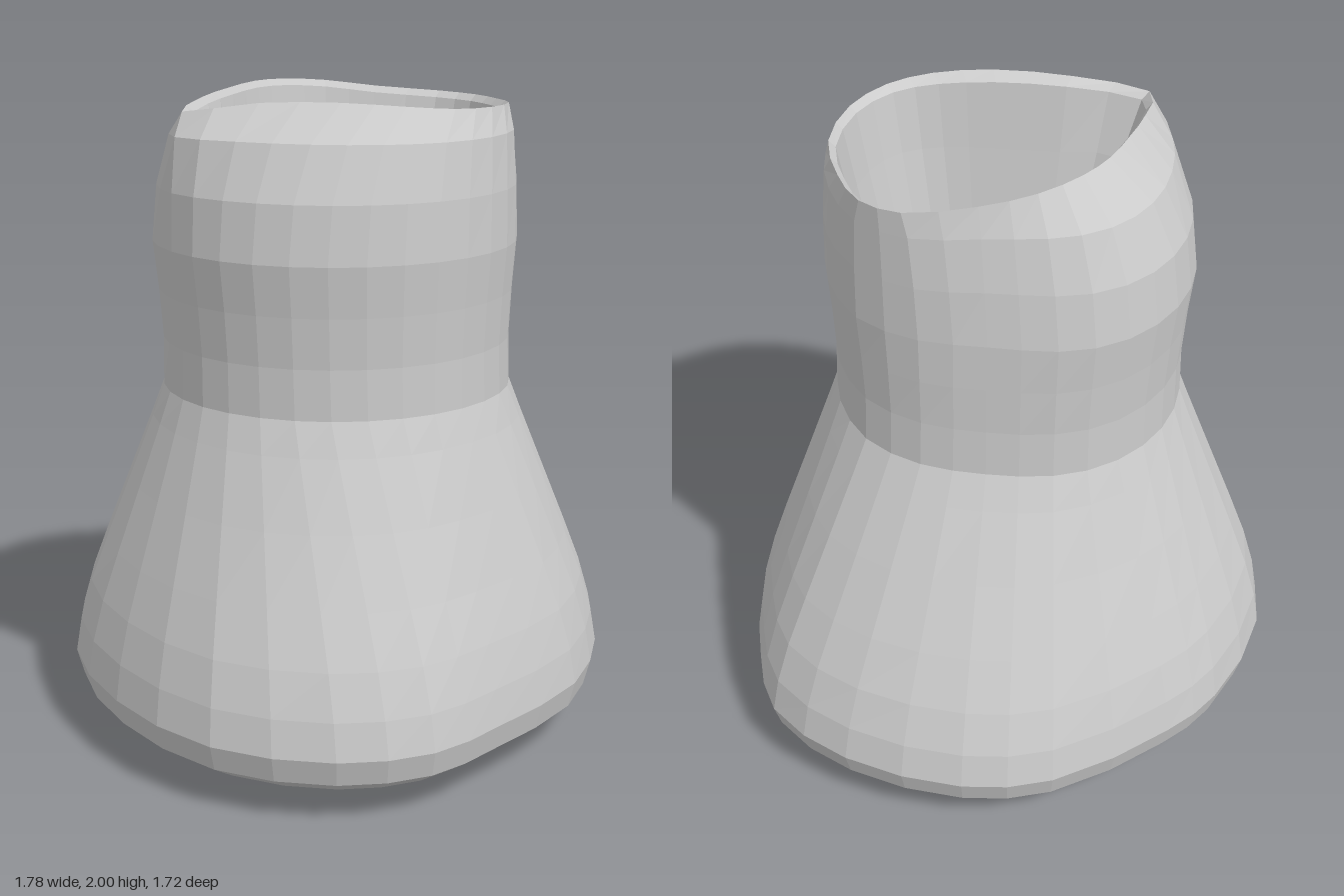
import * as THREE from 'three';

const SEG = 32;
const material = new THREE.MeshStandardMaterial({ color: 0xcccccc, flatShading: true, side: THREE.DoubleSide });

// closed outlines given as [x, z] or [x, z, y], starting at +x and turning toward +z
function outline(points) {
  const curve = new THREE.CatmullRomCurve3(points.map(([x, z, y = 0]) => new THREE.Vector3(x, y, z)), true);
  return Array.from({ length: SEG }, (_, i) => curve.getPoint(i / SEG));
}

function ellipse(cx, rx, rz) {
  return Array.from({ length: SEG }, (_, i) => {
    const a = (i / SEG) * Math.PI * 2;
    return new THREE.Vector3(cx + rx * Math.cos(a), 0, rz * Math.sin(a));
  });
}

// ring between two outlines at one height; t may vary along the ring
function blend(a, b, t, y) {
  return a.map((p, i) => p.clone().lerp(b[i], typeof t === 'function' ? t(i) : t).setY(y));
}

// blend weight with a local bump around one segment of the ring
const bump = (t, amount, at, width) => (i) => t + amount * Math.exp(-(((i - at) / width) ** 2));

// skin over a stack of rings
function loft(name, rings) {
  const index = [];
  for (let r = 0; r < rings.length - 1; r++) {
    for (let i = 0; i < SEG; i++) {
      const j = (i + 1) % SEG;
      const a = r * SEG + i, b = r * SEG + j, c = a + SEG, d = b + SEG;
      index.push(a, c, b, b, c, d);
    }
  }
  const geometry = new THREE.BufferGeometry().setFromPoints(rings.flat());
  geometry.setIndex(index);
  geometry.computeVertexNormals();
  const mesh = new THREE.Mesh(geometry, material);
  mesh.name = name;
  return mesh;
}

export function createModel() {
  const base = outline([
    [0.89, -0.03], [0.80, 0.20], [0.64, 0.45], [0.36, 0.69], [-0.02, 0.81], [-0.28, 0.855], [-0.55, 0.76], [-0.80, 0.48],
    [-0.89, 0.05], [-0.83, -0.38], [-0.63, -0.67], [-0.28, -0.84], [-0.06, -0.86], [0.36, -0.80], [0.60, -0.65], [0.82, -0.34],
  ]);
  const rim = outline([
    [0.47, -0.03, 1.95], [0.44, 0.12, 1.95], [0.36, 0.29, 1.955], [0.20, 0.42, 1.96],
    [0.04, 0.46, 1.965], [-0.10, 0.42, 1.975], [-0.25, 0.31, 1.985], [-0.42, 0.14, 1.98],
    [-0.58, -0.03, 1.95], [-0.44, -0.17, 1.975], [-0.30, -0.26, 1.99], [-0.17, -0.33, 2.0],
    [-0.05, -0.36, 2.0], [0.10, -0.35, 1.99], [0.25, -0.28, 1.97], [0.42, -0.16, 1.955],
  ]);
  const hole = outline([
    [0.07, 0], [0.05, 0.09], [-0.03, 0.145], [-0.1, 0.1], [-0.16, 0], [-0.13, -0.1], [-0.05, -0.13], [0.03, -0.11],
  ]);
  const centre = ellipse(-0.05, 0, 0);

  // the back right of the neck is flattened
  const waist = blend(ellipse(-0.075, 0.535, 0.535), centre, bump(0, 0.08, 28, 2.5), 0);
  const neck = blend(ellipse(-0.08, 0.56, 0.56), centre, bump(0, 0.13, 28, 2.5), 0);

  // rounded underside, flared skirt, neck and lip
  const body = loft('body', [
    blend(centre, base, 0, 0),
    blend(centre, base, 0.5, 0.025),
    blend(centre, base, 0.86, 0.065),
    blend(centre, base, 0.975, 0.13),
    blend(centre, base, 1, 0.21),
    blend(waist, base, 0.94, 0.32),
    blend(waist, base, 0.82, 0.45),
    blend(waist, base, 0.64, 0.6),
    blend(waist, base, 0.39, 0.8),
    blend(waist, base, 0.14, 1.0),
    blend(waist, base, 0.02, 1.1),
    blend(waist, neck, 0.1, 1.25),
    blend(waist, neck, 0.45, 1.4),
    blend(neck, rim, 0, 1.55),
    blend(neck, rim, bump(0.1, 0.2, 28, 2.5), 1.72),
    blend(neck, rim, bump(0.42, 0.25, 28, 2.5), 1.88),
    rim,
  ]);

  // lip, thicker at the front left corner of the mouth
  const thickness = bump(0.04, 0.08, 12, 3);
  const innerLip = rim.map((p, i) => {
    const scale = 1 - thickness(i);
    return new THREE.Vector3(-0.05 + (p.x + 0.05) * scale, p.y - 0.02, p.z * scale);
  });

  // funnel with a fold running in from the pointed corner, ending in a small closed well
  const funnel = loft('mouthFunnel', [
    rim,
    innerLip,
    blend(innerLip, hole, bump(0.1, 0.12, 17, 1.5), 1.75),
    blend(innerLip, hole, bump(0.25, 0.3, 17, 1.5), 1.5),
    blend(innerLip, hole, bump(0.48, 0.3, 17, 1.5), 1.28),
    blend(innerLip, hole, bump(0.75, 0.2, 17, 1.5), 1.1),
    blend(innerLip, hole, 1, 0.98),
    blend(hole, centre, 0, 0.8),
    blend(hole, centre, 0.3, 0.66),
    blend(hole, centre, 1, 0.6),
  ]);

  const group = new THREE.Group();
  group.name = 'flaredVessel';
  group.add(body, funnel);
  return group;
}
